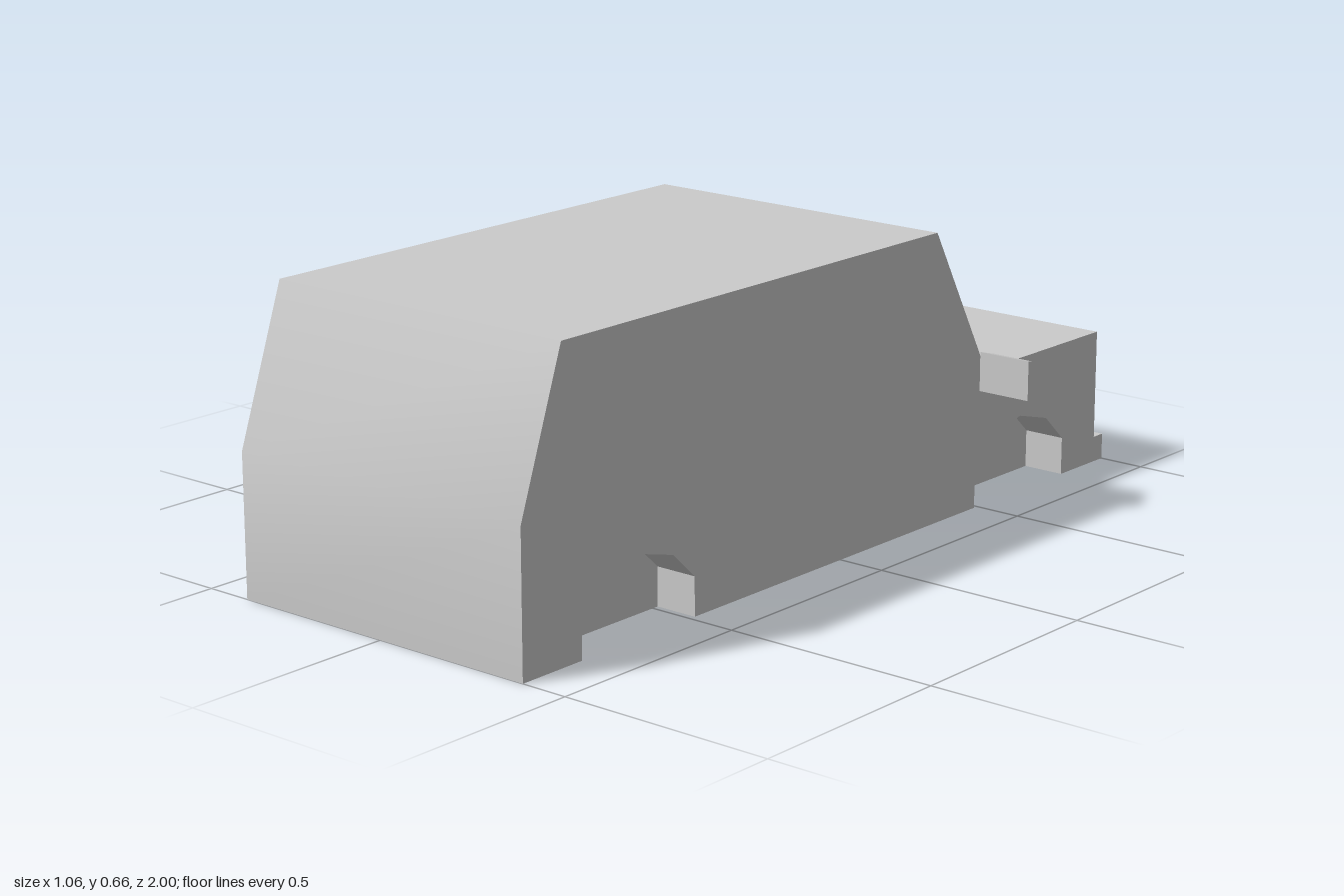
import * as THREE from 'three';

const W = 0.39;          // half width of the body
const WELL = 0.29;       // inner wall of the wheel wells
const mat = new THREE.MeshStandardMaterial({ color: 0xcccccc });

// Surface spanned between x0 and x1 along a [z, y] path; smooth shares normals along it.
function strip(path, x0, x1, smooth = false) {
  const pos = [], idx = [];
  for (const [z, y] of path) pos.push(x0, y, z, x1, y, z);
  for (let i = 0; i < path.length - 1; i++) {
    const a = i * 2;
    idx.push(a, a + 1, a + 3, a, a + 3, a + 2);
  }
  return surface(pos, idx, smooth);
}

function surface(pos, idx, smooth) {
  let g = new THREE.BufferGeometry();
  g.setAttribute('position', new THREE.Float32BufferAttribute(pos, 3));
  g.setIndex(idx);
  if (!smooth) g = g.toNonIndexed();
  g.computeVertexNormals();
  return g;
}

// Flat outline in [z, y], facing away from the centre at the given x
function sidePanel(outline, x) {
  const s = Math.sign(x);
  const shape = new THREE.Shape(outline.map(([z, y]) => new THREE.Vector2(-s * z, y)));
  return new THREE.ShapeGeometry(shape).rotateY(s * Math.PI / 2).translate(x, 0, 0);
}

// Angular wheel arch, from its +z foot to its -z foot
const arch = (c) => [[0.172, 0], [0.172, 0.087], [0.104, 0.15], [0, 0.178],
  [-0.104, 0.15], [-0.172, 0.087], [-0.172, 0]].map(([z, y]) => [c + z, y]);

// Slightly recessed windscreen, deepest along its lower edge
function windscreenGeometry(top, bottom) {
  const n = new THREE.Vector2(bottom[1] - top[1], top[0] - bottom[0]).normalize();
  const point = (x, t, d) => [x,
    THREE.MathUtils.lerp(top[1], bottom[1], t) - n.y * d,
    THREE.MathUtils.lerp(top[0], bottom[0], t) - n.x * d];
  const xi = W - 0.03;
  const pos = [
    point(-W, 0, 0), point(W, 0, 0), point(W, 1, 0), point(-W, 1, 0),
    point(-xi, 0.06, 0), point(xi, 0.06, 0), point(xi, 0.95, 0.012), point(-xi, 0.95, 0.012),
  ].flat();
  const idx = [4, 5, 6, 4, 6, 7];
  for (let i = 0; i < 4; i++) {
    const j = (i + 1) % 4;
    idx.push(i, j, 4 + j, i, 4 + j, 4 + i);
  }
  return surface(pos, idx, true);
}

// Mirror housing, narrower towards the bonnet
function mirrorGeometry() {
  const g = new THREE.BoxGeometry(0.13, 0.09, 0.035).toNonIndexed();
  const p = g.attributes.position;
  for (let i = 0; i < p.count; i++) {
    if (p.getZ(i) < 0) p.setXY(i, p.getX(i) * 0.8, p.getY(i) * 0.8);
  }
  g.computeVertexNormals();
  return g;
}

export function createModel() {
  const model = new THREE.Group();
  const add = (name, geometry, parent = model) => {
    const mesh = new THREE.Mesh(geometry, mat);
    mesh.name = name;
    parent.add(mesh);
    return mesh;
  };

  const roofRear = [0.88, 0.662], roofFront = [-0.33, 0.662], cowl = [-0.52, 0.315];
  const tail = [[1, 0], [1, 0.32], roofRear];
  const nose = [cowl, [-0.965, 0.315], [-0.965, 0.06], [-1, 0.06], [-1, 0]];
  const wells = [arch(-0.66), arch(0.657)];

  // Body shell across the full width
  add('tailgate', strip(tail, -W, W, true));
  add('roof', strip([roofRear, roofFront], -W, W));
  add('windscreen', windscreenGeometry(roofFront, cowl));
  add('bonnet', strip(nose.slice(0, 2), -W, W));
  add('frontPanel', strip(nose.slice(1, 3), -W, W));
  add('bumper', strip(nose.slice(2), -W, W));
  add('floor', strip([[-1, 0], [1, 0]], -WELL, WELL));

  // Sides, sills, wheel wells and mirrors
  const outline = [...tail, roofFront, ...nose,
    ...wells.flatMap((w) => [...w].reverse())];
  const sills = [[-1, wells[0][6][0]], [wells[0][0][0], wells[1][6][0]], [wells[1][0][0], 1]];
  for (const s of [1, -1]) {
    const side = new THREE.Group();
    side.name = s > 0 ? 'leftSide' : 'rightSide';
    model.add(side);
    const x0 = s > 0 ? WELL : -W, x1 = s > 0 ? W : -WELL;

    add('sidePanel', sidePanel(outline, s * W), side);
    for (const [a, b] of sills) add('sill', strip([[a, 0], [b, 0]], x0, x1), side);
    for (const w of wells) {
      add('wheelArch', strip([...w].reverse(), x0, x1), side);
      add('wheelWellWall', sidePanel(w, s * WELL), side);
    }
    add('mirror', mirrorGeometry(), side).position.set(s * 0.465, 0.32, -0.503);
  }
  return model;
}
